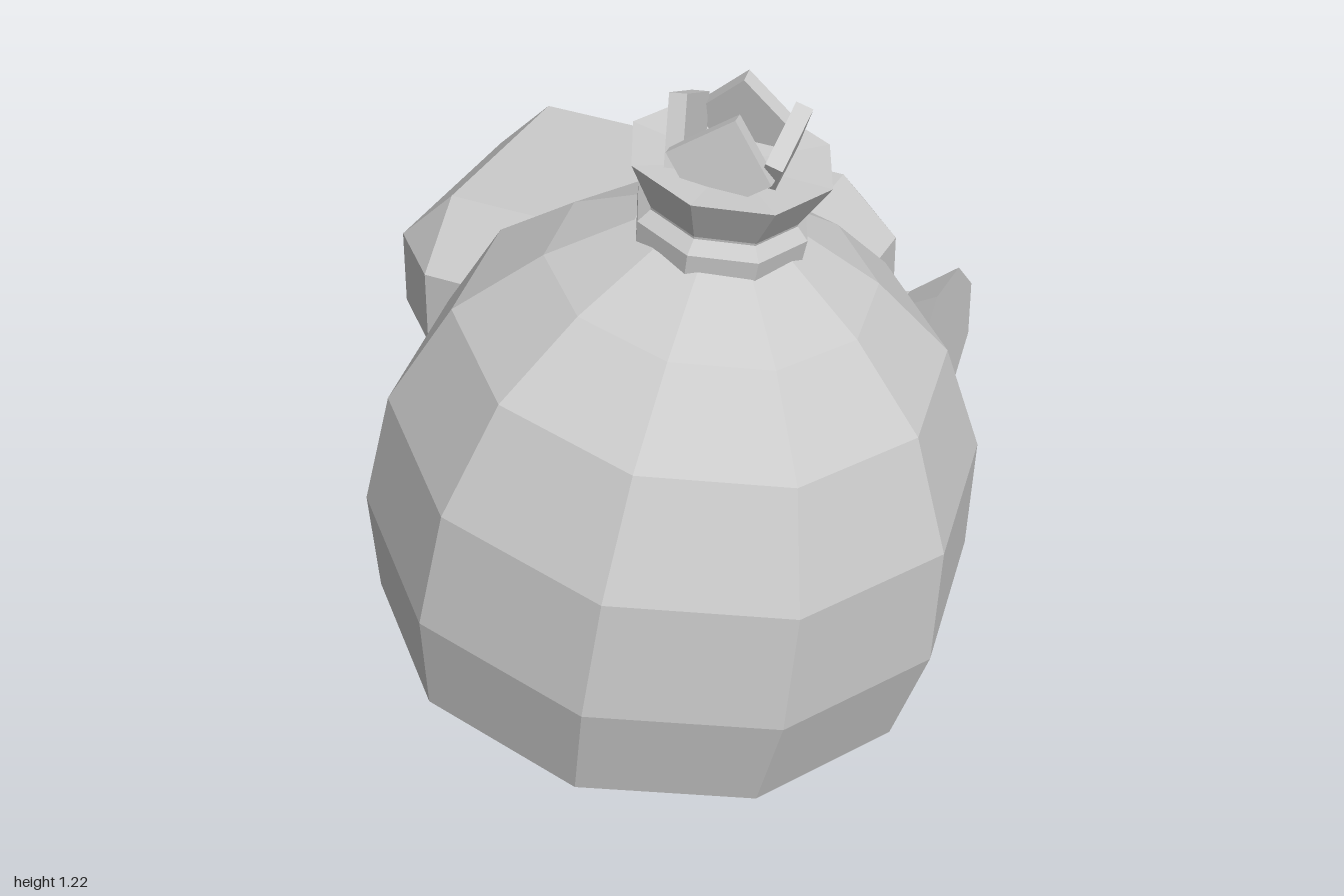
import * as THREE from 'three';
import { ConvexGeometry } from 'three/addons/geometries/ConvexGeometry.js';

const material = new THREE.MeshStandardMaterial({ color: 0xcccccc, flatShading: true });

function addMesh(parent, name, geometry) {
  const mesh = new THREE.Mesh(geometry, material);
  mesh.name = name;
  parent.add(mesh);
  return mesh;
}

// Faceted solid of revolution from [radius, height] points, bottom to top
function turned(points, sides, turn = 0) {
  const profile = points.map(([r, h]) => new THREE.Vector2(r, h));
  const geometry = new THREE.LatheGeometry(profile, sides).toNonIndexed();
  geometry.rotateY(turn);
  geometry.computeVertexNormals();
  return geometry;
}

// Box with every edge cut at 45 degrees by the amount c
function chamferedBox(w, h, d, c) {
  const points = [];
  for (const sx of [-1, 1]) for (const sy of [-1, 1]) for (const sz of [-1, 1]) {
    for (let full = 0; full < 3; full++) {
      const cut = [c, c, c];
      cut[full] = 0;
      points.push(new THREE.Vector3(sx * (w / 2 - cut[0]), sy * (h / 2 - cut[1]), sz * (d / 2 - cut[2])));
    }
  }
  return new ConvexGeometry(points);
}

function buildStandingSack() {
  const sack = new THREE.Group();
  sack.name = 'standingSack';
  // The sack leans a little to its left and backward
  sack.position.set(0.43, 0.047, 0.475);
  sack.quaternion.setFromUnitVectors(
    new THREE.Vector3(0, 1, 0), new THREE.Vector3(0.13, 1, -0.06).normalize());

  addMesh(sack, 'sackBody', turned([
    [0, 0], [0.36, 0], [0.49, 0.1], [0.53, 0.295], [0.51, 0.515],
    [0.42, 0.71], [0.28, 0.835], [0.14, 0.92], [0, 0.92],
  ], 10, Math.PI / 6));

  // Tied neck and flared mouth
  addMesh(sack, 'neckTie', turned([
    [0, 0.88], [0.145, 0.88], [0.15, 0.95], [0.125, 0.975], [0, 0.975],
  ], 8, Math.PI / 8));
  addMesh(sack, 'sackMouth', turned([
    [0.125, 0.94], [0.13, 0.975], [0.175, 1.06], [0, 1.045],
  ], 8, Math.PI / 8));

  // Crumpled cloth flaps standing around the mouth
  for (let i = 0; i < 4; i++) {
    const angle = i * Math.PI / 2 + 0.5;
    const flap = addMesh(sack, 'clothFlap', new THREE.BoxGeometry(0.13, 0.12, 0.03));
    flap.position.set(Math.sin(angle) * 0.08, 1.085, Math.cos(angle) * 0.08);
    flap.rotation.set(i % 2 ? 0.2 : -0.15, angle, i % 2 ? 0.45 : 0.7, 'YXZ');
  }
  return sack;
}

function buildLyingSack() {
  const sack = new THREE.Group();
  sack.name = 'lyingSack';
  sack.position.set(-0.245, 0.26, -0.19);
  sack.rotation.y = 0.345;
  addMesh(sack, 'lyingBody', chamferedBox(0.92, 0.4, 0.66, 0.12));

  // Tied end, turned around the long axis of the sack
  const tie = addMesh(sack, 'lyingTie', turned([
    [0, 0.43], [0.105, 0.43], [0.105, 0.5], [0.075, 0.52], [0, 0.52],
  ], 8, Math.PI / 8));
  const mouth = addMesh(sack, 'lyingMouth', turned([
    [0.07, 0.48], [0.085, 0.56], [0.155, 0.65], [0, 0.65],
  ], 8, Math.PI / 8));
  tie.rotation.z = mouth.rotation.z = -Math.PI / 2;
  return sack;
}

export function createModel() {
  const model = new THREE.Group();
  model.name = 'sacks';
  model.add(buildStandingSack(), buildLyingSack());

  // Patch sewn on the back of the standing sack
  const patch = addMesh(model, 'patch', new THREE.BoxGeometry(0.29, 0.24, 0.04));
  patch.position.set(0.376, 0.365, -0.045);
  patch.rotation.set(0.03, 0.19, -0.1, 'YXZ');

  // Low heaps of spilled contents
  const heaps = [[-0.765, -0.655, 0.235, 0.105], [-0.465, -0.86, 0.143, 0.058]];
  for (const [x, z, r, h] of heaps) {
    const heap = addMesh(model, 'heap', turned(
      [[0, 0], [r, 0], [r * 0.55, h * 0.78], [0, h]], 7, Math.PI / 2));
    heap.position.set(x, 0.06, z);
  }
  return model;
}
